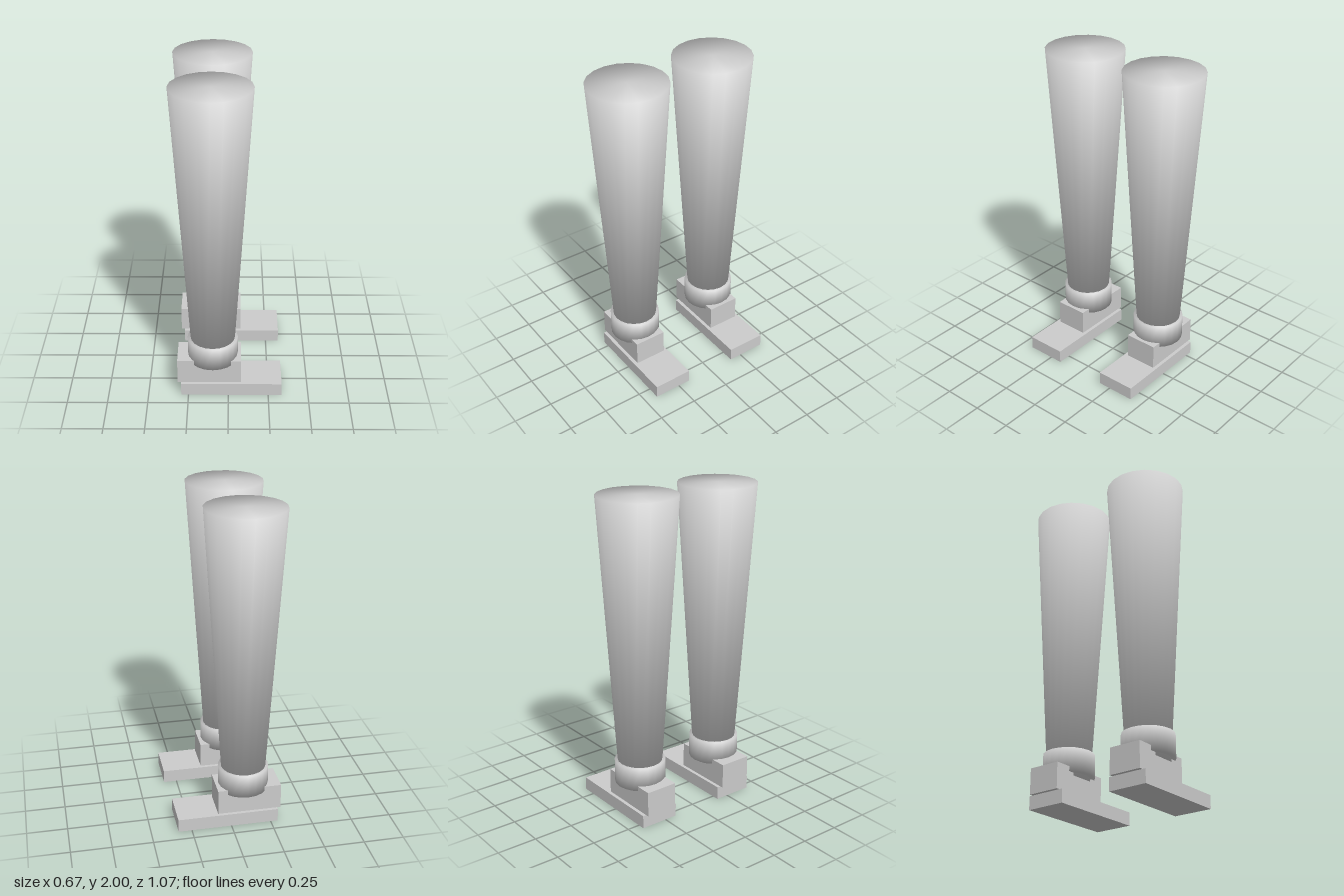
import * as THREE from 'three';

const material = new THREE.MeshStandardMaterial({ color: 0xcccccc });

function addMesh(parent, name, geometry, x, y, z = 0) {
  const mesh = new THREE.Mesh(geometry, material);
  mesh.name = name;
  mesh.position.set(x, y, z);
  parent.add(mesh);
  return mesh;
}

// Capped cylinder whose rim normals are shared by wall and cap (soft, domed shading)
function softCylinder(rTop, rBottom, height) {
  const geometry = new THREE.CylinderGeometry(rTop, rBottom, height, 20);
  const pos = geometry.attributes.position;
  const normal = geometry.attributes.normal;
  for (let i = 0; i < pos.count; i++) {
    const top = pos.getY(i) > 0;
    const r = top ? rTop : rBottom;
    normal.setXYZ(i, 0.71 * pos.getX(i) / r, top ? 0.71 : -0.71, 0.71 * pos.getZ(i) / r);
  }
  return geometry;
}

// Box given by its extents in x and y, centred on z
function slab(parent, name, x0, x1, y0, y1, depth) {
  addMesh(parent, name, new THREE.BoxGeometry(x1 - x0, y1 - y0, depth), (x0 + x1) / 2, (y0 + y1) / 2);
}

export function createModel() {
  const model = new THREE.Group();
  model.name = 'legs';
  const legX = -0.097;

  for (const side of [1, -1]) {
    const leg = new THREE.Group();
    leg.name = side > 0 ? 'frontLeg' : 'backLeg';
    leg.position.z = side * 0.295;

    // Sole with the toe pointing to +x, and the ankle block on its heel
    slab(leg, 'sole', -0.295, 0.333, 0, 0.083, 0.25);
    slab(leg, 'ankleBlock', -0.317, 0.08, 0.083, 0.242, 0.206);

    // Collar around the foot of the tapered leg
    addMesh(leg, 'ankleCollar', softCylinder(0.156, 0.156, 0.147), legX, 0.2855);
    addMesh(leg, 'trouserLeg', softCylinder(0.241, 0.128, 1.805), legX, 1.0975);

    model.add(leg);
  }
  return model;
}
